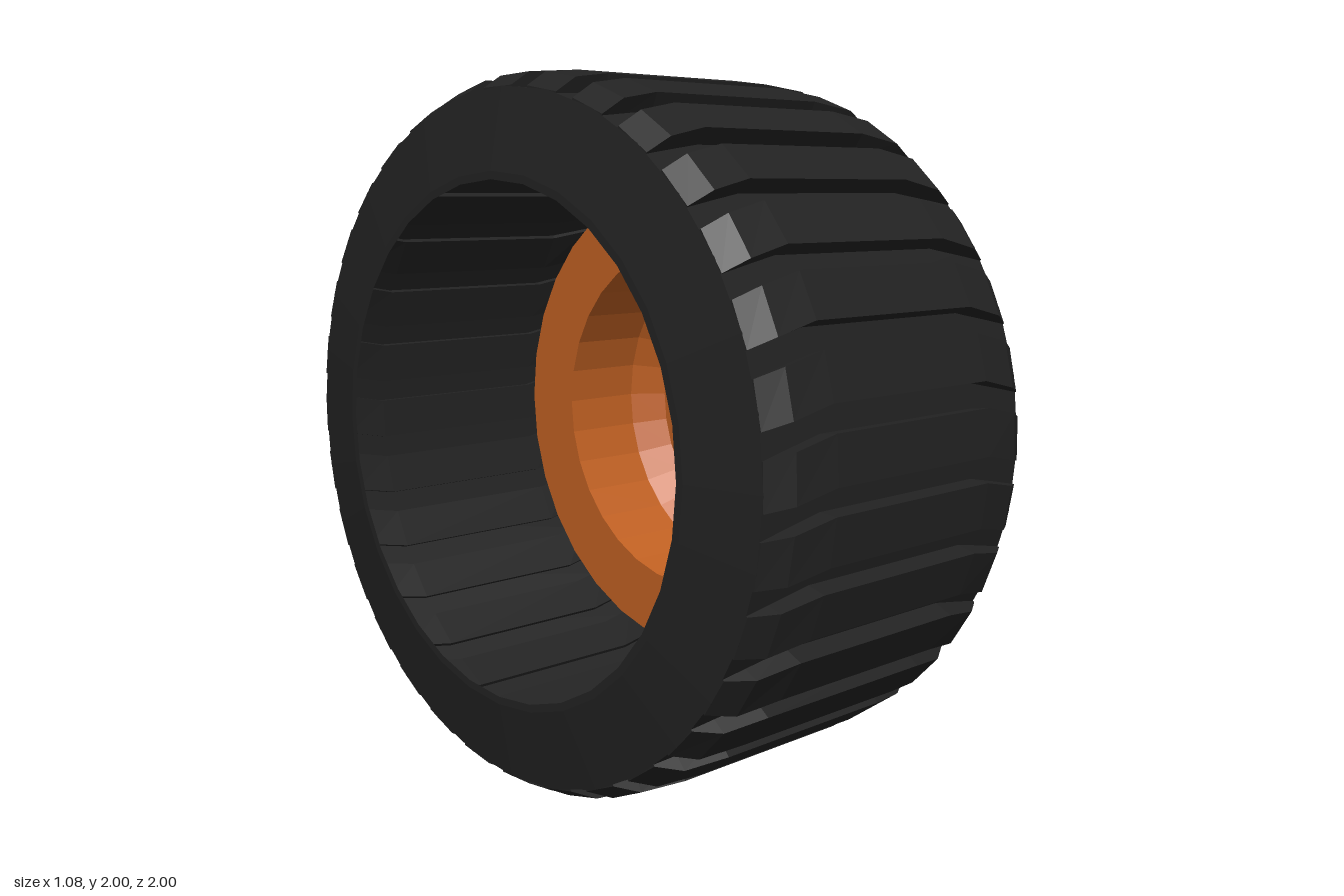
import * as THREE from 'three';

const SIDES = 32;
const PITCH = (Math.PI * 2) / SIDES;
const DEG = Math.PI / 180;

const rubber = new THREE.MeshStandardMaterial({ color: 0x222222, flatShading: true, side: THREE.DoubleSide });
const paint = new THREE.MeshStandardMaterial({ color: 0xc06022, flatShading: true, side: THREE.DoubleSide });

// Turn a [radius, x] profile around the wheel axis (x)
function turned(name, profile, material) {
  const geometry = new THREE.LatheGeometry(profile.map(([r, x]) => new THREE.Vector2(r, x)), SIDES);
  geometry.rotateZ(-Math.PI / 2);
  const mesh = new THREE.Mesh(geometry, material);
  mesh.name = name;
  return mesh;
}

// One tread bar: four-cornered sections along x, swept back towards both shoulders
function treadBarGeometry() {
  const sections = [[-0.5, 0.951, 2.5], [-0.43, 0.989, 1.6], [-0.3, 1, 0],
    [0.3, 1, 0], [0.43, 0.989, 1.6], [0.5, 0.951, 2.5]]; // x, top radius, sweep in degrees
  const inner = 0.935;
  const positions = [];
  const index = [];
  for (const [x, top, sweep] of sections) {
    const a0 = -sweep * DEG;
    const a1 = (7.25 - sweep) * DEG;
    for (const [r, a] of [[inner, a0], [top, a0], [top, a1], [inner, a1]]) {
      positions.push(x, r * Math.sin(a), r * Math.cos(a));
    }
  }
  const last = (sections.length - 1) * 4;
  for (let s = 0; s < last; s += 4) {
    for (let k = 0; k < 4; k++) {
      const n = (k + 1) % 4;
      index.push(s + k, s + 4 + k, s + 4 + n, s + k, s + 4 + n, s + n);
    }
  }
  index.push(0, 1, 2, 0, 2, 3, last, last + 3, last + 2, last, last + 2, last + 1);
  const geometry = new THREE.BufferGeometry();
  geometry.setAttribute('position', new THREE.Float32BufferAttribute(positions, 3));
  geometry.setIndex(index);
  geometry.computeVertexNormals();
  return geometry;
}

export function createModel() {
  const wheel = new THREE.Group();
  wheel.name = 'wheel';
  const body = new THREE.Group();
  body.name = 'wheelBody';
  body.position.y = 1;
  wheel.add(body);

  // Hollow tyre shell with tapered sidewalls, open at the bore
  body.add(turned('tyreShell', [[0.708, -0.54], [0.73, -0.54], [0.95, -0.5],
    [0.95, 0.5], [0.73, 0.54], [0.708, 0.54]], rubber));

  // Ring of tread bars
  const tread = new THREE.Group();
  tread.name = 'tread';
  const bar = treadBarGeometry();
  for (let i = 0; i < SIDES; i++) {
    const mesh = new THREE.Mesh(bar, rubber);
    mesh.name = 'treadBar';
    mesh.rotation.x = -i * PITCH;
    tread.add(mesh);
  }
  body.add(tread);

  // Rim lip, barrel and recessed plate
  body.add(turned('rim', [[0.708, 0.15], [0.708, 0.54], [0.68, 0.54], [0.68, 0.15]], paint));
  body.add(turned('rimPlate', [[0.708, 0.15], [0.51, 0.15]], paint));

  // Raised hollow hub with a bevelled shoulder and flat cap
  body.add(turned('hub', [[0.51, 0.15], [0.51, 0.41], [0.445, 0.505], [0.43, 0.505]], paint));
  body.add(turned('hubCap', [[0.43, 0.505], [0.425, 0.5], [0, 0.5]], paint));

  return wheel;
}
